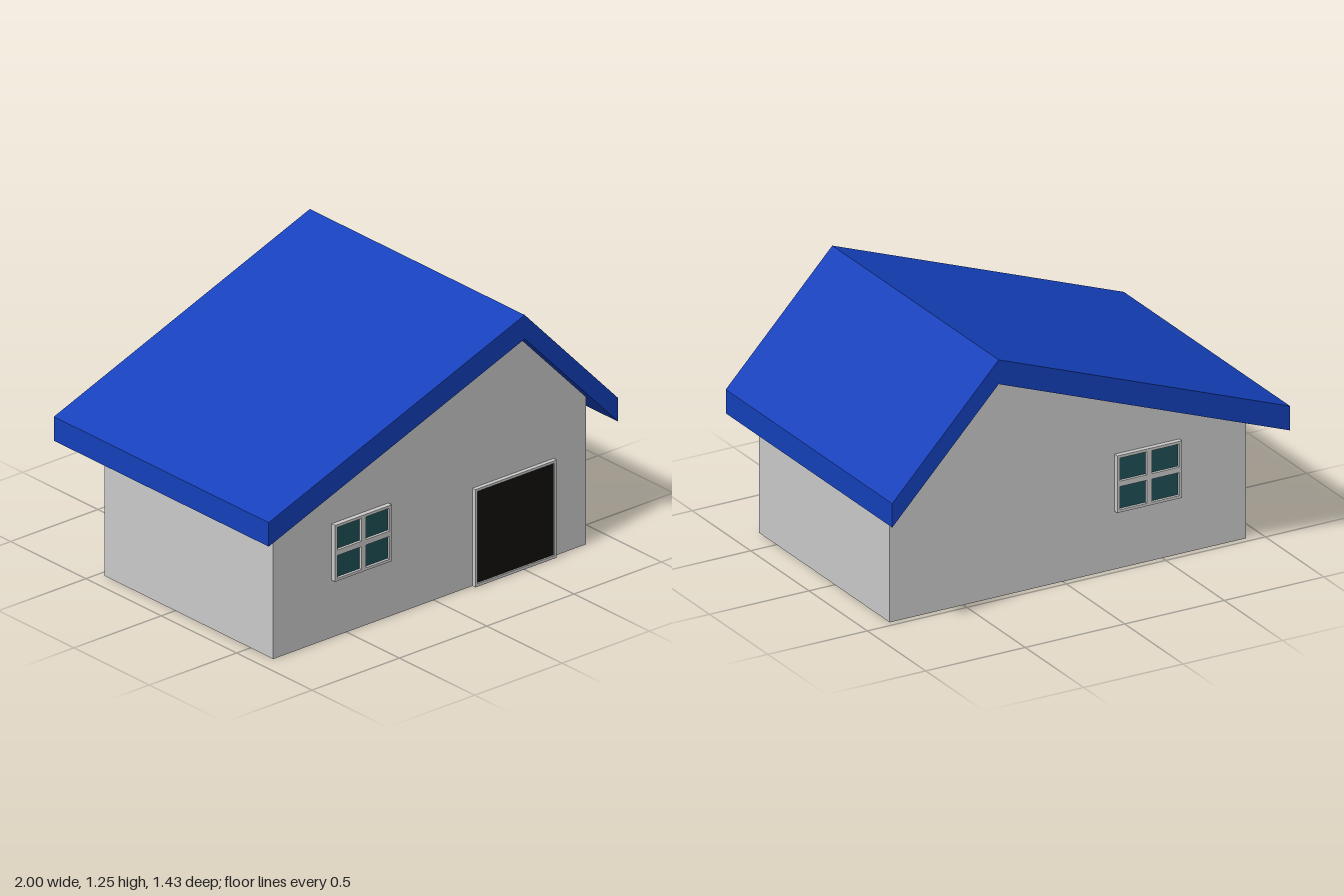
import * as THREE from 'three';

const grey = new THREE.MeshStandardMaterial({ color: 0xcccccc });
const blue = new THREE.MeshStandardMaterial({ color: 0x1440bb });
const teal = new THREE.MeshStandardMaterial({ color: 0x1f5055 });
const dark = new THREE.MeshStandardMaterial({ color: 0x130f0c });

const toPoints = (list) => list.map(([x, y]) => new THREE.Vector2(x, y));
const rect = (x0, y0, x1, y1) => toPoints([[x0, y0], [x1, y0], [x1, y1], [x0, y1]]);

// Extrudes an outline (with optional holes) from z0 to z1
function slab(name, outline, z0, z1, material, holes = []) {
  const shape = new THREE.Shape(outline);
  shape.holes = holes.map((h) => new THREE.Path(h));
  const geometry = new THREE.ExtrudeGeometry(shape, { depth: z1 - z0, bevelEnabled: false });
  geometry.translate(0, 0, z0);
  const mesh = new THREE.Mesh(geometry, material);
  mesh.name = name;
  return mesh;
}

// Four-pane window, centred on x and facing +z from its own origin
function makeWindow(name) {
  const w = 0.1625, h = 0.135, border = 0.013, bar = 0.013;
  const panes = [];
  for (const x of [-w + border, bar])
    for (const y of [-h + border, bar])
      panes.push(rect(x, y, x + w - border - bar, y + h - border - bar));
  const group = new THREE.Group();
  group.name = name;
  group.add(slab('windowFrame', rect(-w, -h, w, h), -0.01, 0.023, grey, panes));
  for (const pane of panes) group.add(slab('windowPane', pane, -0.01, 0.01, teal));
  return group;
}

export function createModel() {
  const house = new THREE.Group();
  house.name = 'house';

  // Walls with an off-centre gable
  const gable = toPoints([[-0.92, 0], [0.87, 0], [0.87, 0.706], [0.465, 1.13], [-0.92, 0.615]]);
  house.add(slab('walls', gable, -0.47, 0.65, grey));

  // Roof of constant vertical thickness, overhanging on all sides
  const roof = toPoints([[-1, 0.585], [0.465, 1.13], [1, 0.57], [1, 0.683], [0.465, 1.245], [-1, 0.7]]);
  house.add(slab('roof', roof, -0.713, 0.713, blue));

  // Door and its frame
  const opening = rect(0.232, 0.014, 0.673, 0.456);
  house.add(slab('doorFrame', rect(0.22, 0, 0.685, 0.468), 0.64, 0.67, grey, [opening]));
  house.add(slab('door', opening, 0.64, 0.662, dark));

  // Matching windows on the front and back walls
  const front = makeWindow('frontWindow');
  front.position.set(-0.4225, 0.41, 0.65);
  const back = makeWindow('backWindow');
  back.position.set(-0.4225, 0.41, -0.47);
  back.rotation.y = Math.PI;
  house.add(front, back);

  return house;
}
